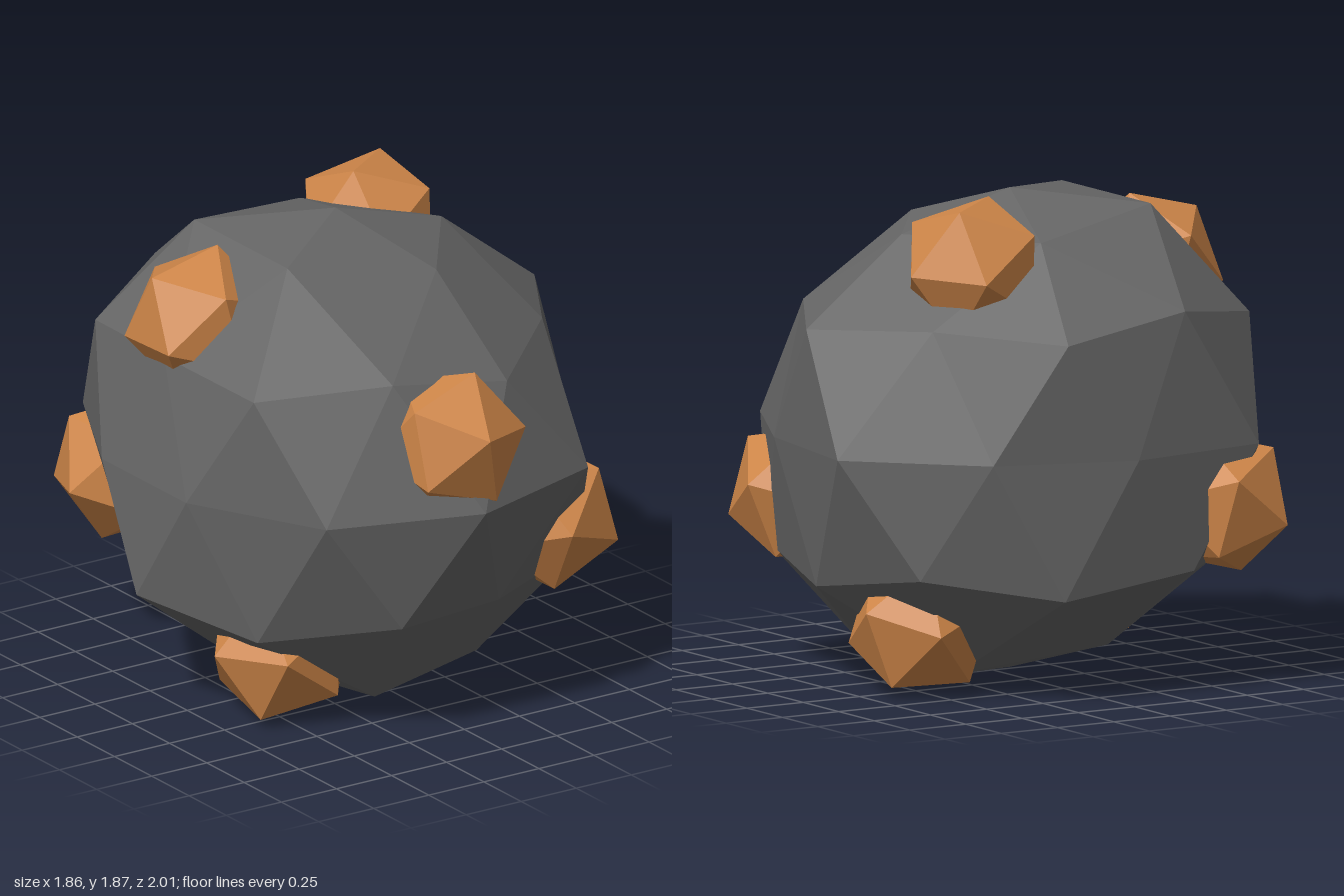
import * as THREE from 'three';

const LOW = 0.914, HIGH = 1.01;

// Rows of the faceted rock: height of the row, and which of its corners bulge
// (counted by angle around y, starting at +x and turning towards +z)
const ROWS = [
  [0.851, '00110'],
  [0.526, '00010'],
  [0.447, '10111'],
  [0, '0111001001'],
  [-0.447, '11111'],
  [-0.526, '10101'],
  [-0.851, '11001'],
];

// Icosahedron turned so one corner points along +y and the next row starts at +x
function uprightIcosahedron(radius, detail) {
  const g = new THREE.IcosahedronGeometry(radius, detail);
  g.rotateX(-Math.atan((1 + Math.sqrt(5)) / 2));
  g.rotateY(Math.PI / 2);
  return g;
}

function cornerRadius(v) {
  const row = ROWS.find(([y]) => Math.abs(y - v.y) < 0.03);
  if (!row) return LOW;
  const turn = (Math.atan2(v.z, v.x) / (2 * Math.PI) + 1.001) % 1;
  return row[1][Math.floor(turn * row[1].length)] === '1' ? HIGH : LOW;
}

function makeRock() {
  const g = uprightIcosahedron(1, 1);
  const p = g.attributes.position;
  const v = new THREE.Vector3();
  for (let i = 0; i < p.count; i++) {
    v.fromBufferAttribute(p, i).normalize();
    v.multiplyScalar(cornerRadius(v));
    p.setXYZ(i, v.x, v.y, v.z);
  }
  g.computeVertexNormals();
  return g;
}

export function createModel() {
  const model = new THREE.Group();
  model.name = 'oreBoulder';
  const stone = new THREE.MeshStandardMaterial({ color: 0x666666, flatShading: true });
  const ore = new THREE.MeshStandardMaterial({ color: 0xcd8548, flatShading: true });

  // Boulder
  const centre = new THREE.Vector3(-0.03, 0.94, -0.07);
  const rock = new THREE.Mesh(makeRock(), stone);
  rock.name = 'boulder';
  rock.position.copy(centre);
  model.add(rock);

  // Ore nuggets, half sunk in the boulder with one corner facing outwards
  const nuggets = [
    ['frontNugget', -0.045, 1.17, 0.72],
    ['frontLeftNugget', 0.56, 0.67, 0.47],
    ['topNugget', 0.33, 1.62, -0.38],
    ['upperRightNugget', -0.62, 1.52, -0.11],
    ['lowerRightNugget', -0.48, 0.27, 0.22],
    ['lowerLeftNugget', 0.51, 0.27, -0.3],
    ['backNugget', -0.53, 0.71, -0.75],
  ];
  const nuggetGeometry = uprightIcosahedron(0.29, 0);
  const up = new THREE.Vector3(0, 1, 0);
  for (const [name, x, y, z] of nuggets) {
    const nugget = new THREE.Mesh(nuggetGeometry, ore);
    nugget.name = name;
    nugget.position.set(x, y, z);
    nugget.quaternion.setFromUnitVectors(up, nugget.position.clone().sub(centre).normalize());
    model.add(nugget);
  }
  return model;
}
